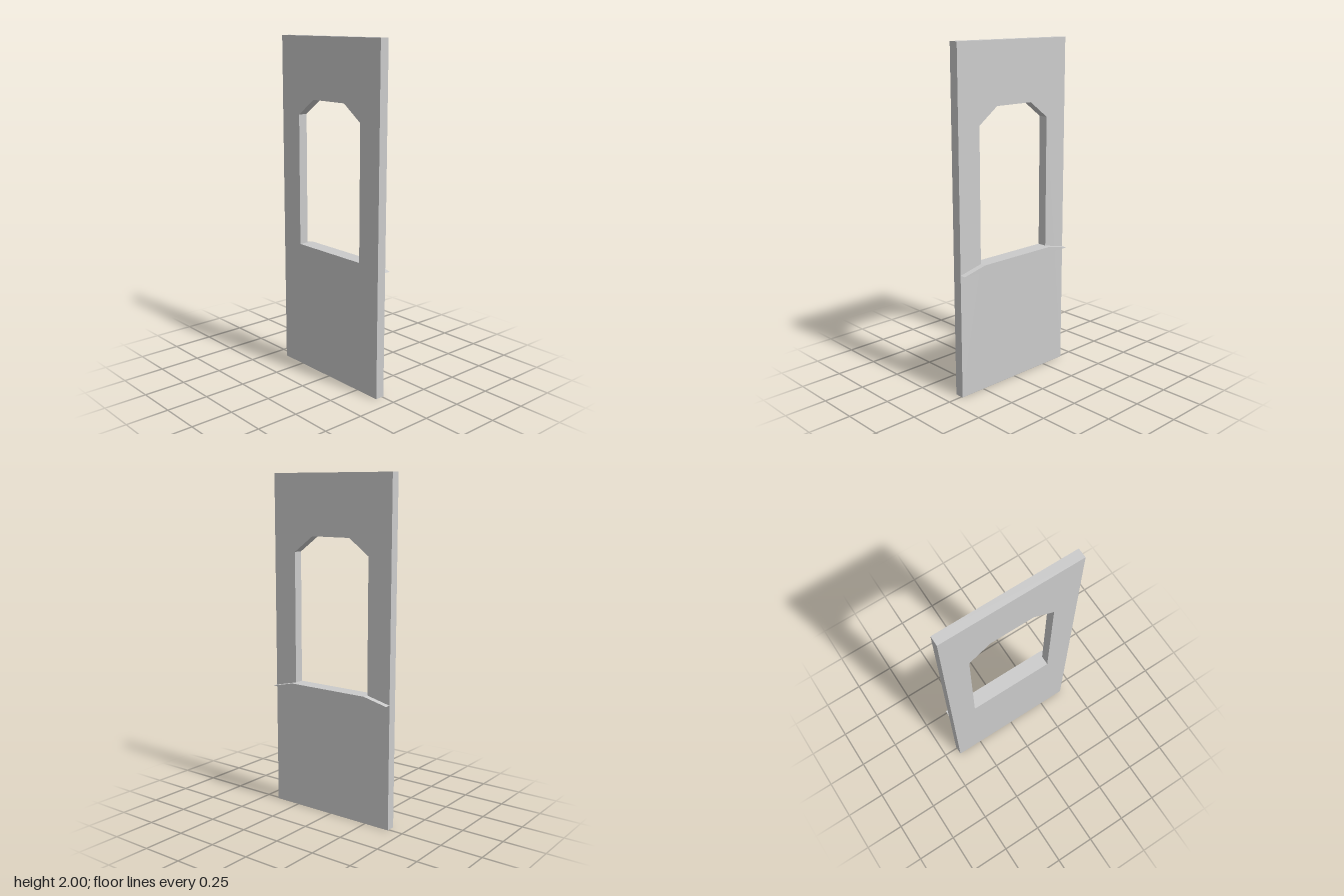
import * as THREE from 'three';

const HALF_W = 0.41, HEIGHT = 2;
const OPEN_W = 0.26, SILL_Y = 0.77;
const FRONT_Z = 0.046, WALL_Z = -0.01, LEDGE_Z = -0.046;

// Closed outline from [x, y] points
const outline = (points, Type = THREE.Shape) =>
  new Type(points.map(([x, y]) => new THREE.Vector2(x, y)));

// Flat slab of the given outline between two depths
function slab(name, shape, zBack, zFront, material) {
  const geometry = new THREE.ExtrudeGeometry(shape, { depth: zFront - zBack, bevelEnabled: false });
  geometry.translate(0, 0, zBack);
  const mesh = new THREE.Mesh(geometry, material);
  mesh.name = name;
  return mesh;
}

export function createModel() {
  const group = new THREE.Group();
  group.name = 'windowWallPanel';
  const material = new THREE.MeshStandardMaterial({ color: 0xcccccc, flatShading: true });

  // Wall panel with a window opening whose upper corners are cut off
  const wall = outline([[-HALF_W, 0], [HALF_W, 0], [HALF_W, HEIGHT], [-HALF_W, HEIGHT]]);
  wall.holes.push(outline([
    [-OPEN_W, SILL_Y], [-OPEN_W, 1.55], [-0.13, 1.645],
    [0.13, 1.645], [OPEN_W, 1.55], [OPEN_W, SILL_Y],
  ], THREE.Path));
  group.add(slab('wallPanel', wall, WALL_Z, FRONT_Z, material));

  // Ledge on the back, flat below the opening and sloping down to both ends
  const ledge = outline([
    [-HALF_W, 0.735], [HALF_W, 0.735], [OPEN_W, SILL_Y], [-OPEN_W, SILL_Y],
  ]);
  group.add(slab('windowLedge', ledge, LEDGE_Z, WALL_Z, material));

  return group;
}
